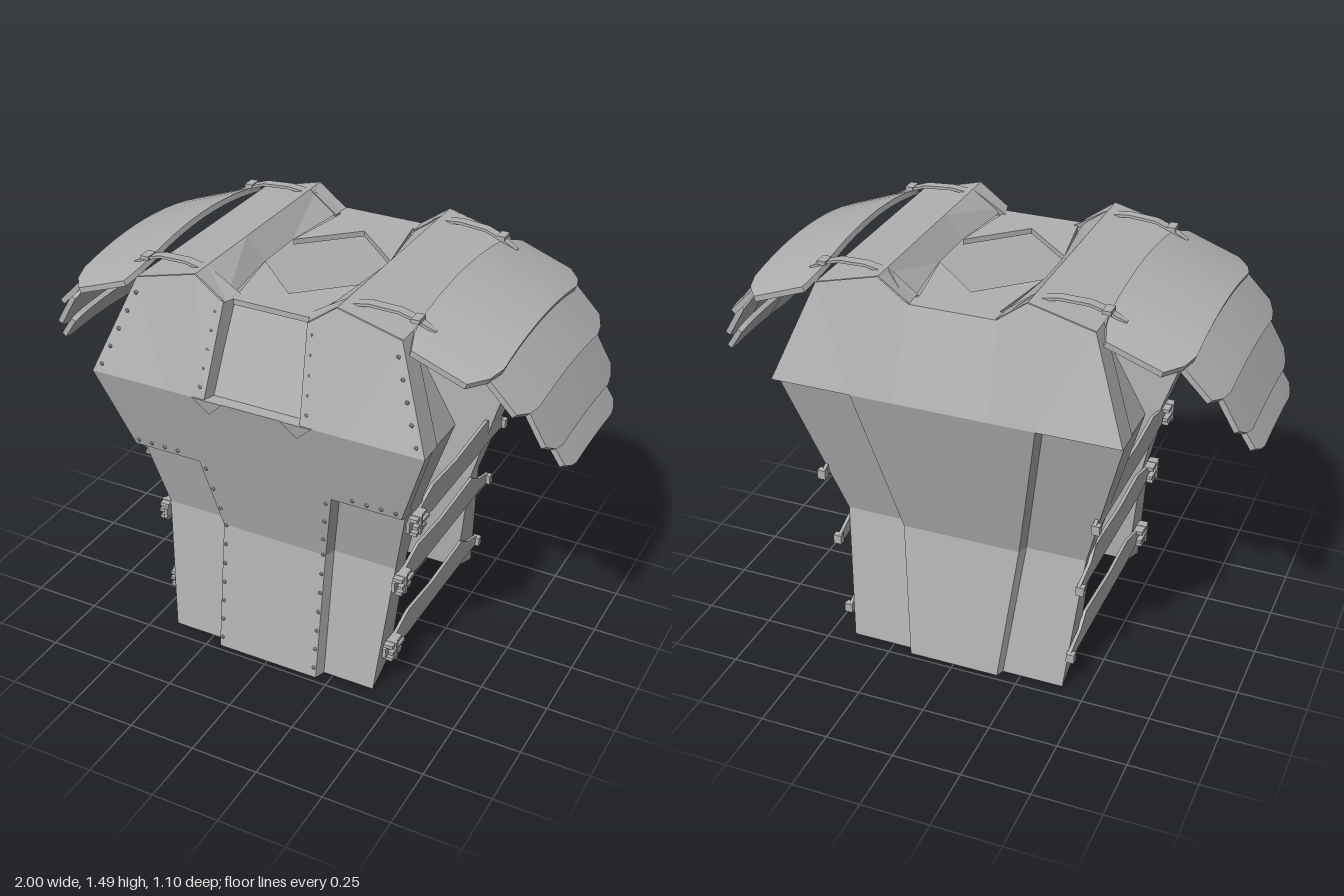
import * as THREE from 'three';
import { mergeGeometries } from 'three/addons/utils/BufferGeometryUtils.js';

const steel = new THREE.MeshStandardMaterial({ color: 0xb0b0b0 });
steel.name = 'steel';

// Closed flat-shaded solid through equal-length rings of [x, y, z], wound outwards.
function loft(rings) {
  const n = rings[0].length, tris = [];
  for (let r = 0; r < rings.length - 1; r++) {
    for (let i = 0; i < n; i++) {
      const j = (i + 1) % n, a = rings[r], b = rings[r + 1];
      tris.push([a[i], a[j], b[j]], [a[i], b[j], b[i]]);
    }
  }
  const end = rings[rings.length - 1];
  for (let i = 1; i < n - 1; i++) {
    tris.push([rings[0][0], rings[0][i + 1], rings[0][i]], [end[0], end[i], end[i + 1]]);
  }
  let volume = 0;
  const va = new THREE.Vector3(), vb = new THREE.Vector3(), vc = new THREE.Vector3();
  for (const [a, b, c] of tris) volume += va.set(...a).dot(vb.set(...b).cross(vc.set(...c)));
  const pos = tris.flatMap(([a, b, c]) => (volume > 0 ? [a, b, c] : [a, c, b]).flat());
  const geo = new THREE.BufferGeometry();
  geo.setAttribute('position', new THREE.Float32BufferAttribute(pos, 3));
  geo.computeVertexNormals();
  return geo;
}

// Raised panel from levels [y, xa, xb, z]; its sides spread by ea and eb towards the body.
function panel(levels, f, ea = 0, eb = 0, depth = 0.06) {
  return loft(levels.map(([y, xa, xb, z]) => [
    [xa, y, f * z], [xb, y, f * z], [xb + eb, y, f * (z - depth)], [xa - ea, y, f * (z - depth)],
  ]));
}

// Thick shell half from levels [y, half width, outer z, inner z, inner y].
function core(levels, f) {
  return loft(levels.map(([y, w, d, i, yi = y]) => [
    [-w, y, f * d], [w, y, f * d], [w, yi, f * i], [-w, yi, f * i],
  ]));
}

// Upper chest or back panel that rises to the shoulder ridge.
function chestPanel(s, f, xLow, xTop, bevel) {
  const ring = (pts, z, zb) => [
    ...pts.map(([x, y]) => [s * x, y, f * z]),
    ...pts.map(([x, y], i) => [s * (i ? x : x - bevel), y, f * zb]).reverse(),
  ];
  return loft([
    ring([[xLow, 1.09], [0.33, 1.09], [0.625, 1.09]], 0.545, 0.45),
    ring([[xTop, 1.41], [0.26, 1.49], [0.49, 1.43]], 0.44, 0.36),
  ]);
}

// Curved shoulder plate swept along z; a and b are its upper and lower edge at the middle.
function lame(s, a, b, half, drop) {
  const rings = [], N = 14, t = 0.02;
  const dx = b[0] - a[0], dy = b[1] - a[1], len = Math.hypot(dx, dy);
  const nx = (-dy / len) * t, ny = (dx / len) * t;
  for (let k = 0; k <= N; k++) {
    const u = (k / N) * 2 - 1;
    const cut = Math.max(0, Math.abs(u) - 0.8) / 0.2;
    const fall = drop * u * u;
    const at = (p, m) => [s * (a[0] + dx * p - nx * m), a[1] + dy * p - ny * m - fall, u * half];
    const p0 = 0.1 * cut, p1 = 1 - 0.24 * cut;
    rings.push([at(p0, 0), at(p1, 0), at(p1, 1), at(p0, 1)]);
  }
  return loft(rings);
}

const box = (w, h, d, x, y, z) => new THREE.BoxGeometry(w, h, d).translate(x, y, z);
const merge = (list) => mergeGeometries(list.map((g) => (g.index ? g.toNonIndexed() : g).deleteAttribute('uv')));

// Row of rivets between two points.
function rivets(a, b, count) {
  return Array.from({ length: count }, (_, k) => {
    const p = new THREE.Vector3(...a).lerp(new THREE.Vector3(...b), k / (count - 1));
    return new THREE.IcosahedronGeometry(0.008, 0).translate(p.x, p.y, p.z);
  });
}

export function createModel() {
  const model = new THREE.Group();
  model.name = 'cuirass';
  const add = (name, geo) => {
    const m = new THREE.Mesh(geo, steel);
    m.name = name;
    model.add(m);
  };

  // Breastplate body, with the raised belly and waist band
  add('breastplate', core([
    [0, 0.41, 0.44, 0.3, 0.06], [0.5, 0.455, 0.37, 0.28], [0.78, 0.515, 0.43, 0.285],
    [1.09, 0.622, 0.5, 0.3], [1.405, 0.485, 0.39, 0.36]], 1));
  add('bellyPanel', panel([
    [0, -0.2, 0.2, 0.48], [0.5, -0.205, 0.205, 0.41], [0.8, -0.26, 0.26, 0.474]], 1, 0.02, 0.02));
  add('chestBand', panel([
    [0.765, -0.513, 0.513, 0.43], [0.787, -0.518, 0.518, 0.472], [1.09, -0.625, 0.625, 0.545]], 1));

  // Backplate body, with the raised spine panel
  add('backplate', core([
    [0, 0.41, 0.45, 0.3, 0.06], [0.5, 0.455, 0.36, 0.28], [1.09, 0.622, 0.51, 0.3],
    [1.405, 0.485, 0.41, 0.36]], -1));
  add('spinePanel', panel([
    [0, -0.17, 0.17, 0.48], [0.5, -0.22, 0.22, 0.395], [1.09, -0.33, 0.33, 0.545]], -1, 0.025, 0.025));
  add('upperBack', panel([[1.09, -0.18, 0.18, 0.545], [1.41, -0.16, 0.16, 0.44]], -1));
  add('upperBackLip', panel([[1.065, -0.615, 0.615, 0.5], [1.09, -0.625, 0.625, 0.545]], -1));

  // Neck opening rim
  for (const f of [1, -1]) {
    const rim = [[0, 0.28], [0.19, 0.1], [0.14, 0.4], [-0.14, 0.4], [-0.19, 0.1]];
    add('neckRim', loft([1.39, 1.41].map((y) => rim.map(([x, z]) => [x, y, f * z]))));
  }

  for (const s of [1, -1]) {
    const side = s > 0 ? 'left' : 'right';
    add(side + 'ChestPanel', chestPanel(s, 1, 0.18, 0.155, 0.025));
    add(side + 'BackPanel', chestPanel(s, -1, 0.17, 0.155, 0));

    // Pointed end of the chest groove
    add(side + 'GrooveTip', loft([0.53, 0.55].map((z) => [
      [s * 0.11, 1.092, z], [s * 0.225, 1.092, z], [s * 0.165, 1.035, z - 0.012]])));

    // Shoulder bridge from chest to back
    add(side + 'Shoulder', loft([[0.435, 0.15], [0.1, 0.19], [-0.1, 0.19], [-0.435, 0.15]].map(([z, x]) => [
      [s * x, 1.41, z], [s * 0.26, 1.49, z], [s * 0.49, 1.43, z]])));

    // Four overlapping shoulder plates
    add(side + 'Pauldron', merge([
      lame(s, [0.5, 1.49], [0.787, 1.385], 0.46, 0.065),
      lame(s, [0.75, 1.38], [0.893, 1.235], 0.385, 0.035),
      lame(s, [0.86, 1.25], [0.962, 1.075], 0.31, 0.018),
      lame(s, [0.925, 1.1], [0.998, 0.99], 0.24, 0.012),
    ]));

    // Short straps holding the pauldron
    for (const z of [0.35, -0.35]) {
      const path = [[0.27, 1.482], [0.34, 1.492], [0.44, 1.487], [0.5, 1.467], [0.56, 1.435]];
      add(side + 'PauldronStrap', merge([
        loft(path.map(([x, y], k) => {
          const h = k === 4 ? 0.009 : 0.018, zc = z + (k - 2) * 0.006 * Math.sign(z) * -1;
          return [[s * x, y, zc - h], [s * x, y, zc + h], [s * x, y - 0.01, zc + h], [s * x, y - 0.01, zc - h]];
        })),
        box(0.03, 0.014, 0.05, s * 0.5, 1.468, z),
      ]));
    }

    // Side belts with buckles in front and studs behind
    const lift = s > 0 ? 0 : 0.02;
    for (const [yc, w] of [[0.71, 0.5], [0.445, 0.452], [0.145, 0.423]]) {
      const y = yc + lift;
      const path = [[0.4, -0.005, 0.02, 0.015], [0.3, 0, 0.03, 0.015], [0.2, 0.003, 0.052, 0.012],
        [0, -0.003, 0.045, 0.012], [-0.28, 0.003, 0.052, 0.012], [-0.34, -0.012, 0.03, 0.015],
        [-0.44, -0.035, 0.018, 0.012]];
      add(side + 'Belt', loft(path.map(([z, o, h, out]) => {
        const x0 = s * (w + out), x1 = s * (w + out - 0.012);
        return [[x0, y + o - h, z], [x0, y + o + h, z], [x1, y + o + h, z], [x1, y + o - h, z]];
      })));
      add(side + 'Buckle', merge([
        box(0.035, 0.014, 0.08, s * (w + 0.02), y + 0.022, 0.35),
        box(0.035, 0.014, 0.08, s * (w + 0.02), y - 0.03, 0.35),
        box(0.045, 0.07, 0.016, s * (w + 0.02), y - 0.004, 0.36),
        box(0.02, 0.012, 0.1, s * (w + 0.03), y - 0.004, 0.34),
        box(0.03, 0.035, 0.025, s * (w + 0.012), y - 0.035, -0.435),
      ]));
    }

    // Rivets along the panel edges
    add(side + 'Rivets', merge([
      ...rivets([s * 0.19, 0.04, 0.475], [s * 0.195, 0.5, 0.41], 7),
      ...rivets([s * 0.205, 0.58, 0.428], [s * 0.235, 0.76, 0.466], 3),
      ...rivets([s * 0.2, 1.13, 0.532], [s * 0.18, 1.38, 0.45], 5),
      ...rivets([s * 0.59, 1.12, 0.536], [s * 0.485, 1.38, 0.457], 5),
      ...rivets([s * 0.34, 0.81, 0.478], [s * 0.5, 0.81, 0.478], 4),
    ]));
  }
  return model;
}
